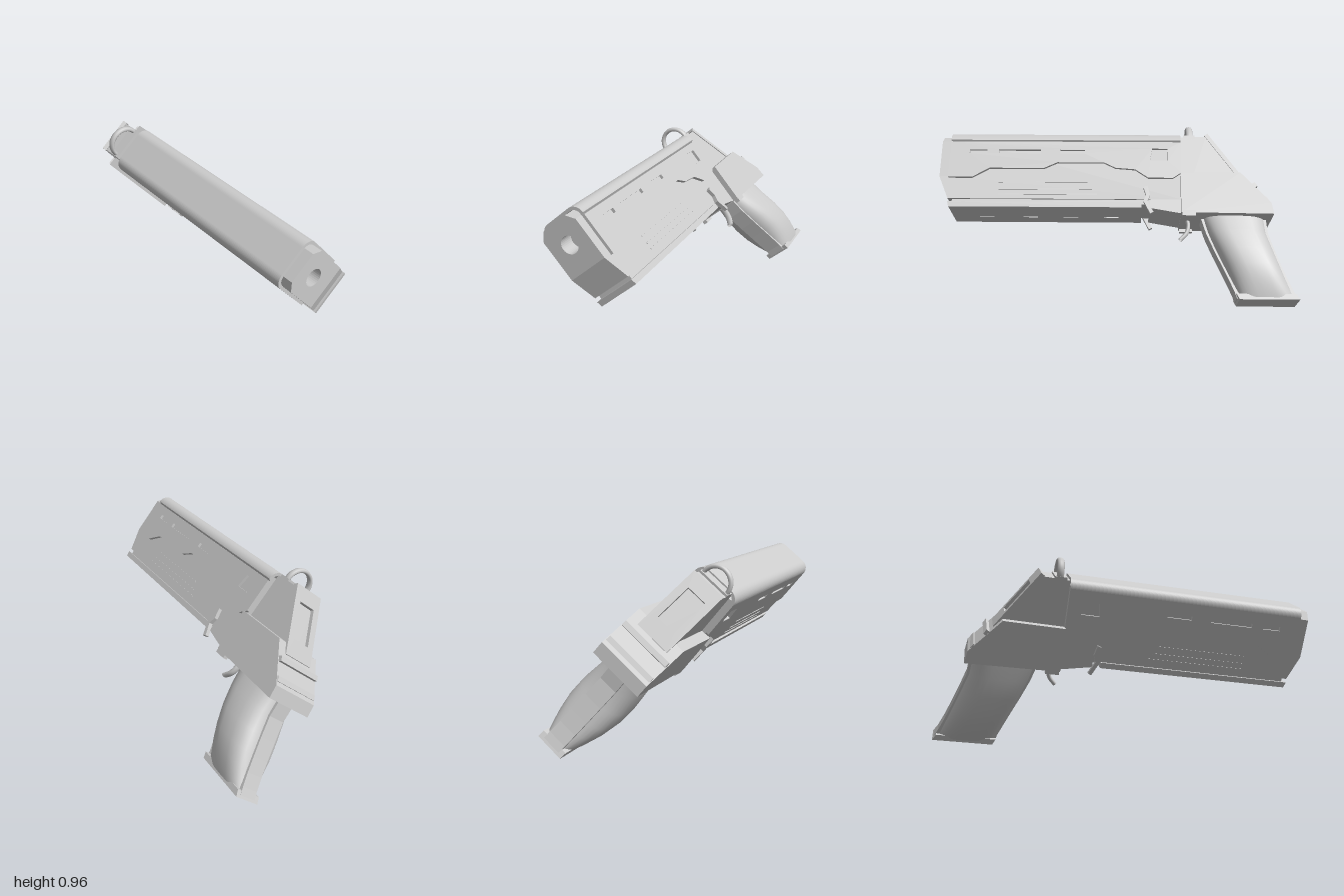
import * as THREE from 'three';

const grey = new THREE.MeshStandardMaterial({ color: 0xcccccc, side: THREE.DoubleSide });

function add(parent, name, geometry) {
  const mesh = new THREE.Mesh(geometry, grey);
  mesh.name = name;
  parent.add(mesh);
  return mesh;
}

const toShape = (pts) => new THREE.Shape(pts.map(([x, y]) => new THREE.Vector2(x, y)));
const rect = (x0, x1, y0, y1) => [[x0, y0], [x1, y0], [x1, y1], [x0, y1]];

// Side outline given as [z, y] pairs, extruded across x and centred on x
function sideExtrude(pts, width, x = 0, holes = []) {
  const shape = toShape(pts);
  holes.forEach((h) => shape.holes.push(toShape(h)));
  const g = new THREE.ExtrudeGeometry(shape, { depth: width, bevelEnabled: false });
  return g.translate(0, 0, -width / 2).rotateY(-Math.PI / 2).translate(x, 0, 0);
}

function boxAt(x0, x1, y0, y1, z0, z1) {
  return new THREE.BoxGeometry(x1 - x0, y1 - y0, z1 - z0)
    .translate((x0 + x1) / 2, (y0 + y1) / 2, (z0 + z1) / 2);
}

// Smooth loft through rows of [y, zFront, zBack, halfWidth]
function gripLoft(rows, n = 32) {
  const pos = [], idx = [];
  const p = (v) => Math.sign(v) * Math.pow(Math.abs(v), 0.72);
  rows.forEach(([y, zf, zb, w]) => {
    for (let i = 0; i < n; i++) {
      const a = (i / n) * Math.PI * 2;
      pos.push(w * p(Math.cos(a)), y, (zf + zb) / 2 + (zf - zb) / 2 * p(Math.sin(a)));
    }
  });
  for (let r = 0; r < rows.length - 1; r++) {
    for (let i = 0; i < n; i++) {
      const a = r * n + i, b = r * n + (i + 1) % n;
      idx.push(a, a + n, b, b, a + n, b + n);
    }
  }
  const g = new THREE.BufferGeometry();
  g.setAttribute('position', new THREE.Float32BufferAttribute(pos, 3));
  g.setIndex(idx);
  g.computeVertexNormals();
  return g;
}

export function createModel() {
  const group = new THREE.Group();
  const gun = new THREE.Group();
  gun.name = 'pistol';
  gun.rotation.set(0, -0.278, 0.69, 'YXZ');
  gun.position.set(0.229, 0.196, 0.065);
  group.add(gun);

  // Barrel housing with a sloping lower front
  add(gun, 'barrelHousing', sideExtrude(
    [[-0.43, 0.44], [0.985, 0.44], [1.047, 0.585], [0.95, 0.585], [0.95, 0.845], [-0.43, 0.845]], 0.25));

  // Muzzle block with the bore
  const muzzle = toShape([[-0.125, 0.585], [0.125, 0.585], [0.125, 0.82], [0.085, 0.865], [-0.085, 0.865], [-0.125, 0.82]]);
  muzzle.holes.push(new THREE.Path().absarc(0, 0.735, 0.05, 0, Math.PI * 2, true));
  add(gun, 'muzzle', new THREE.ExtrudeGeometry(muzzle, { depth: 0.1, bevelEnabled: false, curveSegments: 16 })
    .translate(0, 0, 0.947));

  // Shroud roof: a rounded arch running along the barrel
  const o = 0.142, i = 0.124, base = 0.815;
  const arch = new THREE.Shape();
  arch.moveTo(o, base);
  arch.absarc(o - 0.06, 0.826, 0.06, 0, Math.PI / 2, false);
  arch.absarc(-o + 0.06, 0.826, 0.06, Math.PI / 2, Math.PI, false);
  arch.lineTo(-o, base);
  arch.lineTo(-i, base);
  arch.absarc(-i + 0.042, 0.826, 0.042, Math.PI, Math.PI / 2, true);
  arch.absarc(i - 0.042, 0.826, 0.042, Math.PI / 2, 0, true);
  arch.lineTo(i, base);
  add(gun, 'shroudRoof', new THREE.ExtrudeGeometry(arch, { depth: 1.42, bevelEnabled: false, curveSegments: 8 })
    .translate(0, 0, -0.43));

  const shroudEdge = [[-0.43, base], [-0.43, 0.61], [-0.38, 0.575], [-0.23, 0.575], [-0.15, 0.63], [-0.03, 0.64],
    [0.04, 0.675], [0.325, 0.675], [0.407, 0.636], [0.74, 0.636], [0.843, 0.575], [0.99, 0.575], [0.99, base]];
  const slots = [rect(0.76, 0.87, 0.735, 0.76), rect(0.43, 0.69, 0.735, 0.76),
    rect(0.16, 0.31, 0.735, 0.76), [[-0.35, 0.69], [-0.24, 0.69], [-0.255, 0.77], [-0.35, 0.77]]];

  for (const side of [-1, 1]) {
    // Shroud cheeks with cut-outs
    add(gun, 'shroudCheek', sideExtrude(shroudEdge, 0.018, side * 0.133, slots));
    // Thin ribs on the exposed housing
    [0.465, 0.5, 0.545].forEach((y, k) => {
      add(gun, 'sideRib', sideExtrude(rect(0.08 + k * 0.03, 0.68, y, y + 0.008), 0.006, side * 0.126));
    });
    // Bent lever in front of the trigger
    add(gun, 'sideLever', sideExtrude([[-0.2, 0.51], [-0.225, 0.52], [-0.24, 0.46], [-0.225, 0.42], [-0.26, 0.35],
      [-0.24, 0.34], [-0.2, 0.42], [-0.215, 0.46]], 0.025, side * 0.136));
  }

  // Underside rail, with a narrow neck above it
  add(gun, 'railNeck', boxAt(-0.115, 0.115, 0.41, 0.45, -0.43, 0.96));
  add(gun, 'lowerRail', sideExtrude([[-0.19, 0.385], [0.975, 0.385], [0.985, 0.418], [-0.19, 0.418]], 0.26));
  for (const z of [-0.05, 0.2, 0.45, 0.72]) {
    add(gun, 'railSlat', boxAt(-0.043, -0.035, 0.381, 0.39, z, z + 0.09));
  }

  // Lower frame ahead of the trigger
  add(gun, 'lowerFrame', sideExtrude([[-0.243, 0.44], [-0.235, 0.385], [-0.43, 0.35], [-0.5, 0.35], [-0.5, 0.44]], 0.25));

  // Receiver behind the shroud
  add(gun, 'receiver', sideExtrude([[-0.43, 0.37], [-0.43, 0.87], [-0.59, 0.875], [-0.94, 0.37]], 0.2));
  add(gun, 'receiverPlates', sideExtrude(
    [[-0.425, 0.345], [-0.425, 0.6], [-0.785, 0.605], [-0.96, 0.41], [-0.972, 0.338]], 0.32));
  for (const side of [-1, 1]) {
    add(gun, 'plateFoot', boxAt(side * 0.145 - 0.015, side * 0.145 + 0.015, 0.325, 0.36, -0.51, -0.43));
  }

  // Sloping rear cover with a window and cross bars
  const cover = new THREE.Group();
  cover.name = 'rearCover';
  cover.position.set(0, 0.875, -0.59);
  cover.rotation.x = Math.atan2(0.35, 0.505);
  const frame = toShape(rect(-0.105, 0.105, -0.4, 0.01));
  frame.holes.push(toShape(rect(-0.06, 0.06, -0.3, -0.08)));
  add(cover, 'windowFrame', new THREE.ExtrudeGeometry(frame, { depth: 0.025, bevelEnabled: false }).translate(0, 0, -0.02));
  add(cover, 'upperBar', boxAt(-0.155, 0.155, -0.46, -0.43, -0.04, 0.008));
  add(cover, 'lowerBar', boxAt(-0.155, 0.155, -0.57, -0.54, -0.04, 0.008));
  gun.add(cover);

  // Rear sight hoop
  add(gun, 'sightHoop', new THREE.TorusGeometry(0.085, 0.013, 8, 24, Math.PI).scale(1, 1, 1.6).translate(0, 0.885, -0.49));
  add(gun, 'hoopBase', boxAt(-0.1, 0.1, 0.84, 0.885, -0.52, -0.45));

  // Trigger
  const path = new THREE.CatmullRomCurve3([[0.39, -0.45], [0.33, -0.475], [0.27, -0.465], [0.225, -0.425]]
    .map(([y, z]) => new THREE.Vector3(0, y, z)));
  add(gun, 'trigger', new THREE.TubeGeometry(path, 14, 0.013, 8).scale(1.7, 1, 1));

  // Grip body, its front and back straps, and the base
  const rows = [[0.37, -0.55, -0.93, 0.115], [0.25, -0.585, -0.94, 0.135], [0.14, -0.63, -0.975, 0.148],
    [0.04, -0.675, -1.01, 0.145], [-0.04, -0.71, -1.04, 0.128], [-0.11, -0.74, -1.07, 0.103], [-0.15, -0.752, -1.09, 0.085]];
  add(gun, 'grip', gripLoft(rows));
  const straps = [...rows.map(([y, f]) => [f + 0.008, y]), ...rows.map(([y, , b]) => [b - 0.008, y]).reverse()];
  add(gun, 'gripStraps', sideExtrude(straps, 0.11));
  add(gun, 'gripBase', sideExtrude([[-0.74, -0.13], [-0.756, -0.163], [-1.105, -0.163], [-1.085, -0.13]], 0.165));

  return group;
}
